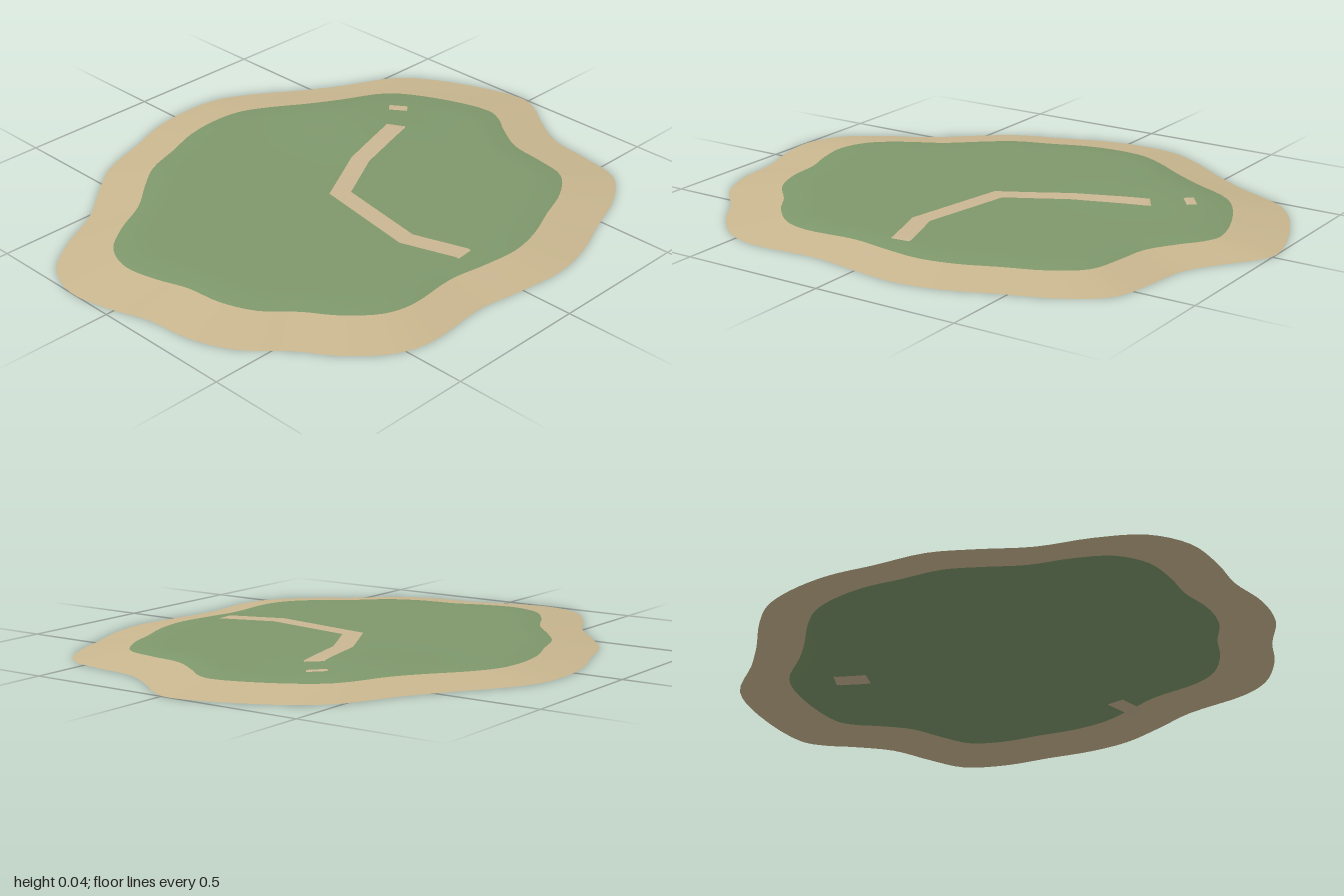
import * as THREE from 'three';

const grass = new THREE.MeshStandardMaterial({ color: 0x7f986c, side: THREE.DoubleSide });
grass.name = 'grass green';
const sand = new THREE.MeshStandardMaterial({ color: 0xc9b78f, side: THREE.DoubleSide });
sand.name = 'sand';
const trail = new THREE.MeshStandardMaterial({ color: 0xcab693, side: THREE.DoubleSide });
trail.name = 'trail beige';

const PLATEAU = 0.03;      // height of the flat land
const SLOPE_START = 0.74;  // fraction of the radius where the shore begins to fall
const GRASS_EDGE = 0.805;  // fraction of the radius where grass meets sand

// Shoreline as x, z pairs, counter-clockwise seen from above
const SHORE = [
  1.0, -0.03, 0.92, -0.29, 0.8, -0.47, 0.6, -0.575, 0.47, -0.655, 0.32, -0.76, 0.2, -0.82,
  0.07, -0.835, -0.09, -0.815, -0.24, -0.76, -0.41, -0.7, -0.53, -0.61, -0.665, -0.495,
  -0.825, -0.41, -0.95, -0.31, -1.0, -0.175, -0.975, -0.02, -0.93, 0.115, -0.91, 0.275,
  -0.85, 0.42, -0.74, 0.54, -0.655, 0.66, -0.53, 0.77, -0.41, 0.805, -0.17, 0.79, 0, 0.815,
  0.165, 0.83, 0.32, 0.8, 0.48, 0.735, 0.645, 0.67, 0.77, 0.57, 0.805, 0.43, 0.83, 0.27,
  0.91, 0.135, 0.97, 0.055,
];

// Low rounded hill on the back left of the land
const hill = (x, z) => 0.011 * Math.exp(-((x - 0.4) ** 2 + (z + 0.3) ** 2) / (2 * 0.15 ** 2));

function surface(positions, index) {
  const geometry = new THREE.BufferGeometry();
  geometry.setAttribute('position', new THREE.Float32BufferAttribute(positions, 3));
  geometry.setIndex(index);
  geometry.computeVertexNormals();
  return geometry;
}

// Land: scaled copies of the shoreline joined into rings, grass inside and sand outside
function createLand() {
  const control = [];
  for (let i = 0; i < SHORE.length; i += 2) control.push(new THREE.Vector3(SHORE[i], 0, SHORE[i + 1]));
  const n = 140;
  const shore = new THREE.CatmullRomCurve3(control, true).getPoints(n).slice(0, n);

  const scales = [];
  for (let i = 0; i <= 14; i++) scales.push((SLOPE_START * i) / 14);
  scales.push(GRASS_EDGE, 0.9, 1);

  const positions = [];
  for (const s of scales) {
    const fall = Math.min(1, (1 - s) / (1 - SLOPE_START));
    for (const p of shore) {
      const x = p.x * s, z = p.z * s;
      positions.push(x, fall * (PLATEAU + hill(x, z)), z);
    }
  }
  const index = [];
  let grassCount = 0;
  for (let r = 0; r < scales.length - 1; r++) {
    for (let j = 0; j < n; j++) {
      const k = (j + 1) % n;
      const a = r * n + j, b = a + n, c = (r + 1) * n + k, d = r * n + k;
      if (r > 0) index.push(a, c, d);
      index.push(a, b, c);
    }
    if (scales[r + 1] === GRASS_EDGE) grassCount = index.length;
  }
  const geometry = surface(positions, index);
  // The centre ring is a single point, so its normals all face up
  for (let j = 0; j < n; j++) geometry.attributes.normal.setXYZ(j, 0, 1, 0);
  geometry.addGroup(0, grassCount, 0);
  geometry.addGroup(grassCount, index.length - grassCount, 1);
  const mesh = new THREE.Mesh(geometry, [grass, sand]);
  mesh.name = 'land';
  return mesh;
}

// Footpath: mitred ribbon over the ground; each row is x, z and lift above the ground
function createPath() {
  const rows = [
    [-0.02, 0.72, -0.0163], [-0.005, 0.567, 0.0012], [-0.067, 0.38, 0.0012], [-0.007, 0.022, 0.0012],
    [0.205, -0.09, 0.0012], [0.46, -0.163, 0.0012], [0.482, -0.182, -0.002],
    [0.547, -0.235, -0.002], [0.565, -0.25, 0.0012], [0.585, -0.266, 0.0012],
  ];
  const half = 0.033;
  const points = rows.map(([x, z]) => new THREE.Vector2(x, z));
  const edges = points.map((p, i) => {
    const before = p.clone().sub(points[Math.max(i - 1, 0)]).normalize();
    const after = points[Math.min(i + 1, points.length - 1)].clone().sub(p).normalize();
    const t = before.clone().add(after).normalize();
    const miter = half / t.dot(i ? before : after);
    const side = new THREE.Vector2(-t.y, t.x).multiplyScalar(miter);
    return [p.clone().sub(side), p.clone().add(side)];
  });

  const positions = [], index = [];
  const steps = 6;
  for (let i = 0; i < rows.length - 1; i++) {
    for (let s = i ? 1 : 0; s <= steps; s++) {
      const f = s / steps;
      const lift = THREE.MathUtils.lerp(rows[i][2], rows[i + 1][2], f);
      for (const e of [0, 1]) {
        const q = edges[i][e].clone().lerp(edges[i + 1][e], f);
        positions.push(q.x, PLATEAU + hill(q.x, q.y) + lift, q.y);
      }
    }
  }
  for (let a = 0; a < positions.length / 3 - 2; a += 2) {
    index.push(a, a + 1, a + 2, a + 1, a + 3, a + 2);
  }
  const mesh = new THREE.Mesh(surface(positions, index), trail);
  mesh.name = 'footpath';
  return mesh;
}

export function createModel() {
  const group = new THREE.Group();
  group.name = 'island';
  group.add(createLand(), createPath());
  return group;
}
